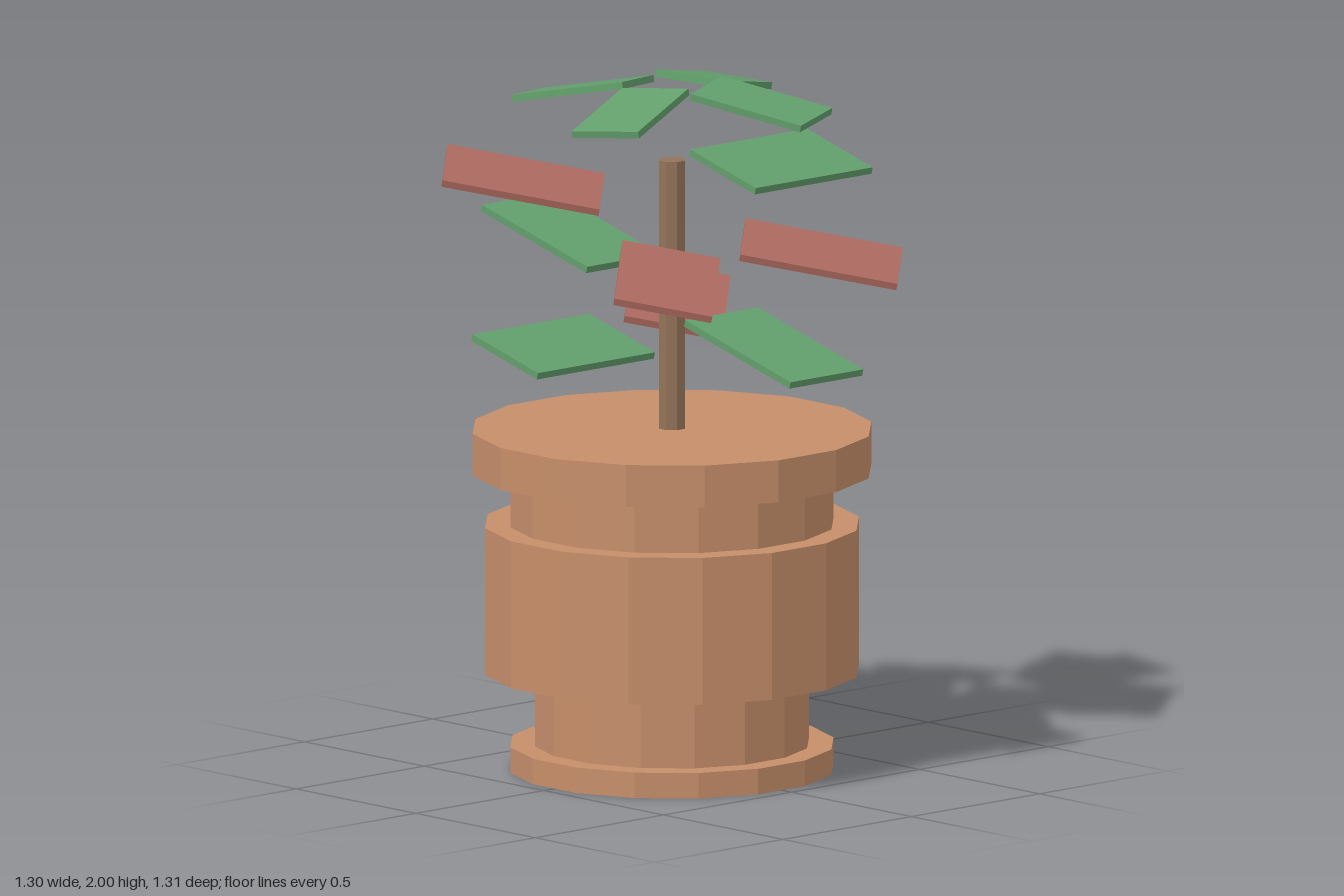
import * as THREE from 'three';

const flat = (name, color) => {
  const m = new THREE.MeshStandardMaterial({ color, flatShading: true });
  m.name = name;
  return m;
};

export function createModel() {
  const clay = flat('clay', 0xc68e6a);
  const bark = flat('bark', 0x937359);
  const green = flat('leafGreen', 0x629f6c);
  const red = flat('leafRed', 0xab695f);

  const model = new THREE.Group();
  model.name = 'pottedPlant';

  // Upright prism from y0 to y1 with flat sides facing the axes;
  // half is the distance from the centre to a side
  const prism = (name, half, y0, y1, sides, mat, parent) => {
    const r = half / Math.cos(Math.PI / sides);
    const geo = new THREE.CylinderGeometry(r, r, y1 - y0, sides);
    geo.rotateY(Math.PI / sides);
    const mesh = new THREE.Mesh(geo, mat);
    mesh.name = name;
    mesh.position.y = (y0 + y1) / 2;
    parent.add(mesh);
  };

  // Pot: stacked sixteen-sided rings
  const pot = new THREE.Group();
  pot.name = 'pot';
  model.add(pot);
  [
    ['potFoot', 0.458, 0, 0.074],
    ['potLowerNeck', 0.388, 0.074, 0.286],
    ['potBelly', 0.53, 0.286, 0.713],
    ['potUpperNeck', 0.458, 0.713, 0.866],
    ['potRim', 0.565, 0.866, 0.988],
  ].forEach(([name, half, y0, y1]) => prism(name, half, y0, y1, 16, clay, pot));

  // Stem
  prism('stem', 0.037, 0.95, 1.767, 8, bark, model);

  // A leaf points outward at the given angle, then leans down toward +x
  const addLeaf = (name, geo, mat, angle, dist, y, lean, parent) => {
    const leaf = new THREE.Mesh(geo, mat);
    leaf.name = name;
    leaf.position.set(Math.cos(angle) * dist, y, -Math.sin(angle) * dist);
    leaf.rotation.set(0, angle, -lean, 'ZYX');
    parent.add(leaf);
  };

  // Lower leaves: eight around the stem at three heights, all leaning the same way
  const bigLeaf = new THREE.BoxGeometry(0.456, 0.02, 0.284);
  const heights = [1.28, 1.495, 1.705, 1.28, 1.495, 1.705, 1.28, 1.495];
  heights.forEach((y, i) => {
    const isRed = i % 2 === 1;
    addLeaf(isRed ? 'redLeaf' : 'greenLeaf', bigLeaf, isRed ? red : green,
      i * Math.PI / 4, 0.425, y, THREE.MathUtils.degToRad(15), model);
  });

  // Crown: four small drooping leaves in a pinwheel
  const smallLeaf = new THREE.BoxGeometry(0.352, 0.02, 0.21);
  for (let i = 0; i < 4; i++) {
    const turn = new THREE.Group();
    turn.name = 'crownLeafTurn';
    turn.rotation.y = i * Math.PI / 2;
    addLeaf('crownLeaf', smallLeaf, green, THREE.MathUtils.degToRad(22), 0.28,
      1.951, THREE.MathUtils.degToRad(11.5), turn);
    model.add(turn);
  }

  return model;
}
